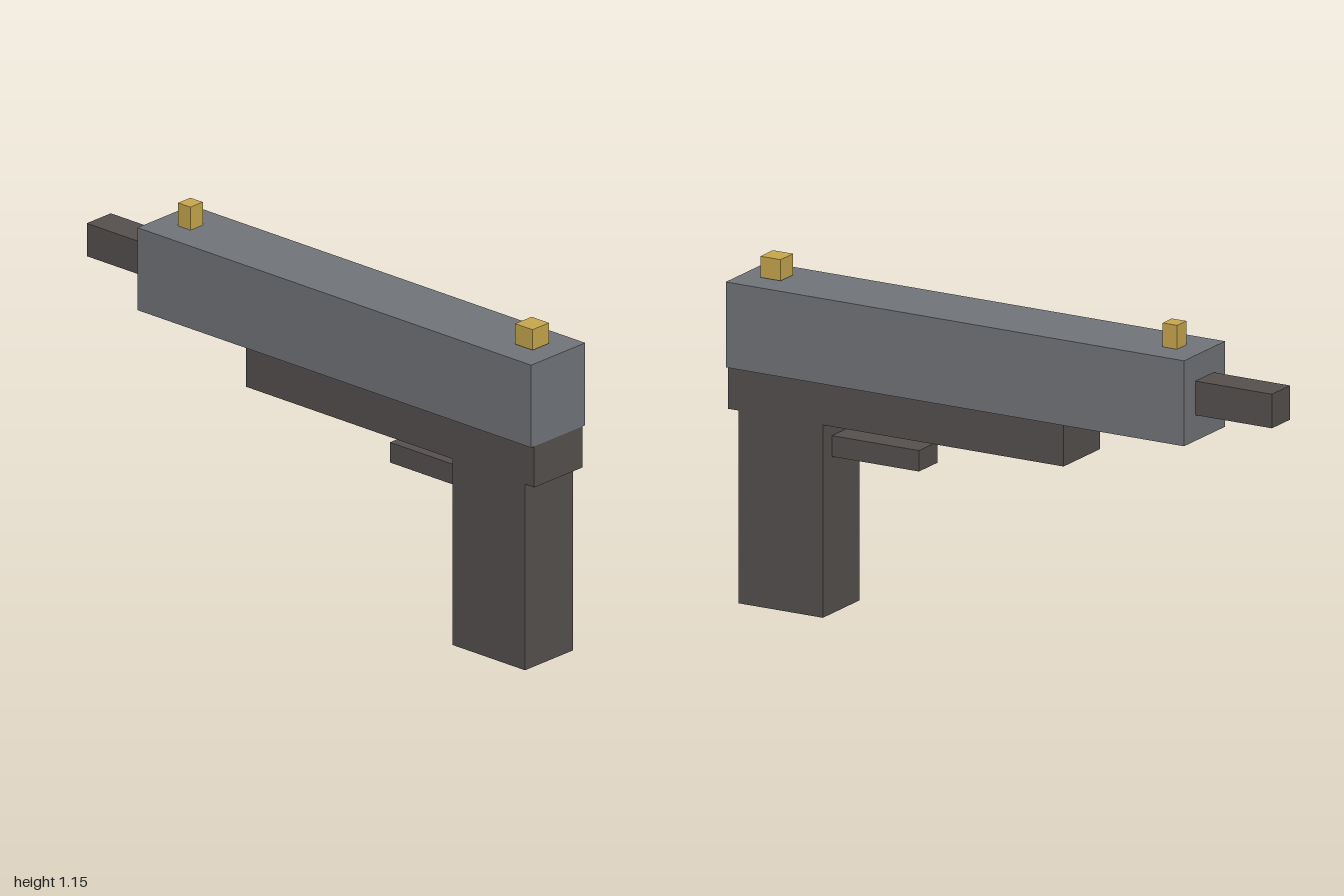
import * as THREE from 'three';

export function createModel() {
  const model = new THREE.Group();
  const material = (name, color) => {
    const m = new THREE.MeshStandardMaterial({ color });
    m.name = name;
    return m;
  };
  const steel = material('steel grey', 0x72757a);
  const dark = material('dark brown grey', 0x56514f);
  const brass = material('brass', 0xc9a84e);

  // Box centred on x, given its width and its y and z ranges
  const addBox = (name, mat, width, [y0, y1], [z0, z1]) => {
    const mesh = new THREE.Mesh(new THREE.BoxGeometry(width, y1 - y0, z1 - z0), mat);
    mesh.name = name;
    mesh.position.set(0, (y0 + y1) / 2, (z0 + z1) / 2);
    model.add(mesh);
  };

  // Main body
  addBox('slide', steel, 0.256, [0.787, 1.073], [-0.714, 1]);
  addBox('barrel', dark, 0.114, [0.873, 0.987], [-1, -0.714]);
  addBox('frame', dark, 0.228, [0.645, 0.787], [-0.255, 1]);
  addBox('grip', dark, 0.228, [0, 0.645], [0.645, 0.96]);
  addBox('triggerBar', dark, 0.114, [0.525, 0.595], [0.32, 0.645]);

  // Sights on top
  addBox('rearSight', brass, 0.078, [1.077, 1.148], [0.848, 0.924]);
  addBox('frontSight', brass, 0.058, [1.073, 1.153], [-0.628, -0.574]);

  return model;
}
